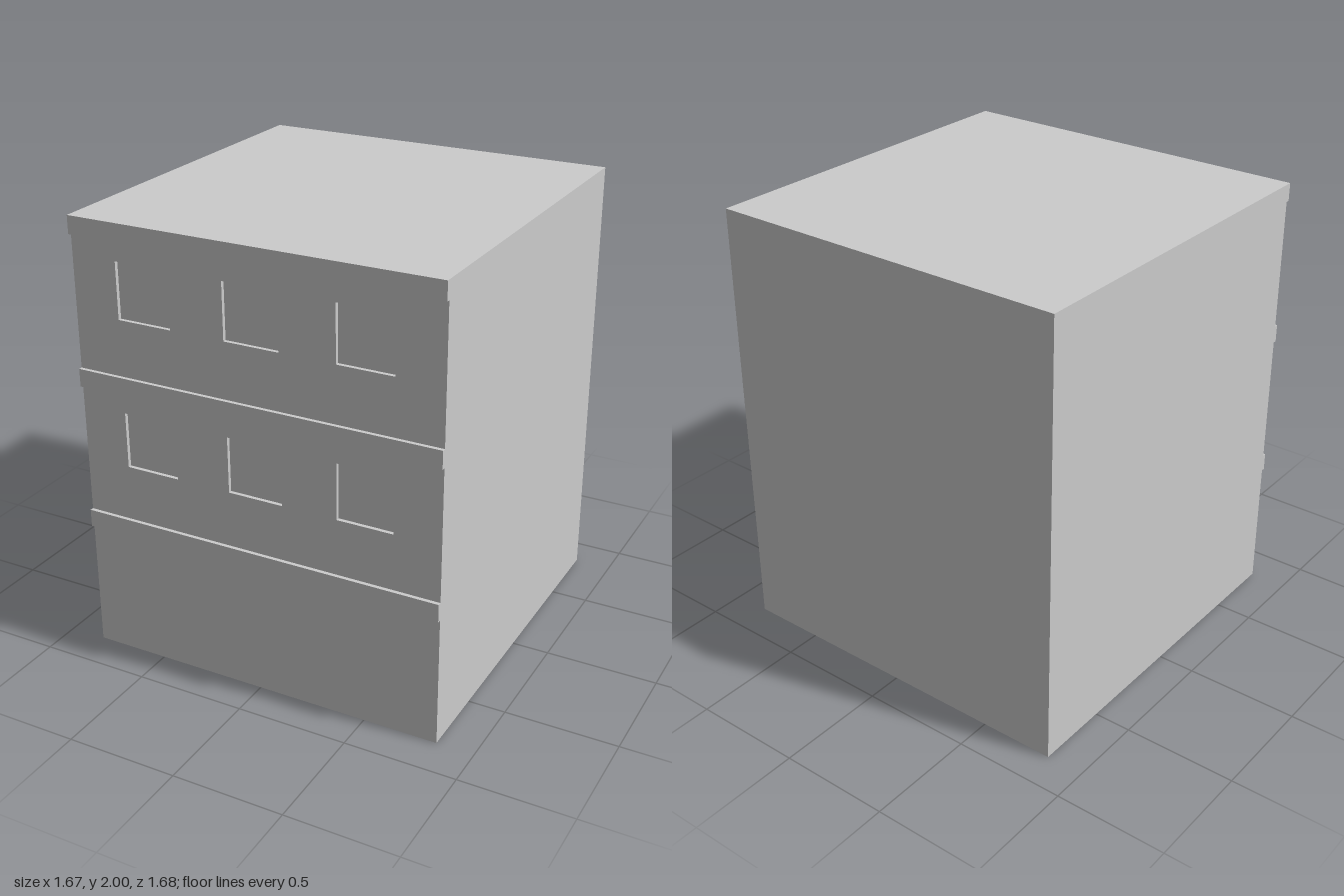
import * as THREE from 'three';

const W = 1.667, HX = W / 2;               // width of the block
const BACK = -0.842, WALL = 0.825, BAND = 0.842;
const BAND_H = 0.08, STOREY = 2 / 3, WIN = 0.25, RECESS = 0.017;

export function createModel() {
  const group = new THREE.Group();
  const mat = new THREE.MeshStandardMaterial({ color: 0xcccccc, side: THREE.DoubleSide, flatShading: true });

  const add = (parent, name, geo) => {
    const mesh = new THREE.Mesh(geo, mat);
    mesh.name = name;
    parent.add(mesh);
    return mesh;
  };
  // Flat panel facing +z, turned by rx / ry
  const panel = (parent, name, w, h, x, y, z, rx = 0, ry = 0) => {
    const mesh = add(parent, name, new THREE.PlaneGeometry(w, h));
    mesh.position.set(x, y, z);
    mesh.rotation.set(rx, ry, 0);
  };
  const rect = (path, x0, y0, x1, y1) =>
    path.moveTo(x0, y0).lineTo(x1, y0).lineTo(x1, y1).lineTo(x0, y1).closePath();

  // Roof and back; the shell is hollow and open below
  panel(group, 'roof', W, BAND - BACK, 0, 2, (BAND + BACK) / 2, -Math.PI / 2);
  panel(group, 'backWall', W, 2, 0, 1, BACK, 0, Math.PI);

  // Side walls follow the stepped outline of the front
  const outline = [[BACK, 0], [WALL, 0]];
  for (let i = 1; i <= 3; i++) {
    const top = i * STOREY, low = top - BAND_H;
    outline.push([WALL, low], [BAND, low], [BAND, top]);
    if (i < 3) outline.push([WALL, top]);
  }
  outline.push([BACK, 2]);
  for (const s of [-1, 1]) {
    const shape = new THREE.Shape(outline.map(([z, y]) => new THREE.Vector2(-s * z, y)));
    const side = add(group, s > 0 ? 'leftWall' : 'rightWall', new THREE.ShapeGeometry(shape));
    side.rotation.y = s * Math.PI / 2;
    side.position.x = s * HX;
  }

  for (let i = 0; i < 3; i++) {
    const base = i * STOREY, low = base + STOREY - BAND_H, top = base + STOREY;
    const storey = new THREE.Group();
    storey.name = 'storey' + (i + 1);
    group.add(storey);

    // Front wall of the storey, with window openings above the ground floor
    const wall = new THREE.Shape();
    rect(wall, -HX, base, HX, low);
    if (i > 0) {
      const y = base + 0.25 + WIN / 2, r = WIN / 2, zm = WALL - RECESS / 2;
      for (const x of [-0.5, 0, 0.5]) {
        const hole = new THREE.Path();
        rect(hole, x - r, y - r, x + r, y + r);
        wall.holes.push(hole);
        // Recessed pane and its four reveals
        const win = new THREE.Group();
        win.name = 'window';
        storey.add(win);
        panel(win, 'pane', WIN, WIN, x, y, WALL - RECESS);
        for (const s of [-1, 1]) {
          panel(win, 'jamb', RECESS, WIN, x + s * r, y, zm, 0, -s * Math.PI / 2);
          panel(win, s > 0 ? 'head' : 'sill', WIN, RECESS, x, y + s * r, zm, s * Math.PI / 2);
        }
      }
    }
    add(storey, 'frontWall', new THREE.ShapeGeometry(wall)).position.z = WALL;

    // Projecting band: face, underside and ledge
    const zm = (WALL + BAND) / 2, d = BAND - WALL;
    panel(storey, 'bandFace', W, BAND_H, 0, (low + top) / 2, BAND);
    panel(storey, 'bandUnderside', W, d, 0, low, zm, Math.PI / 2);
    if (i < 2) panel(storey, 'bandLedge', W, d, 0, top, zm, -Math.PI / 2);
  }
  return group;
}
